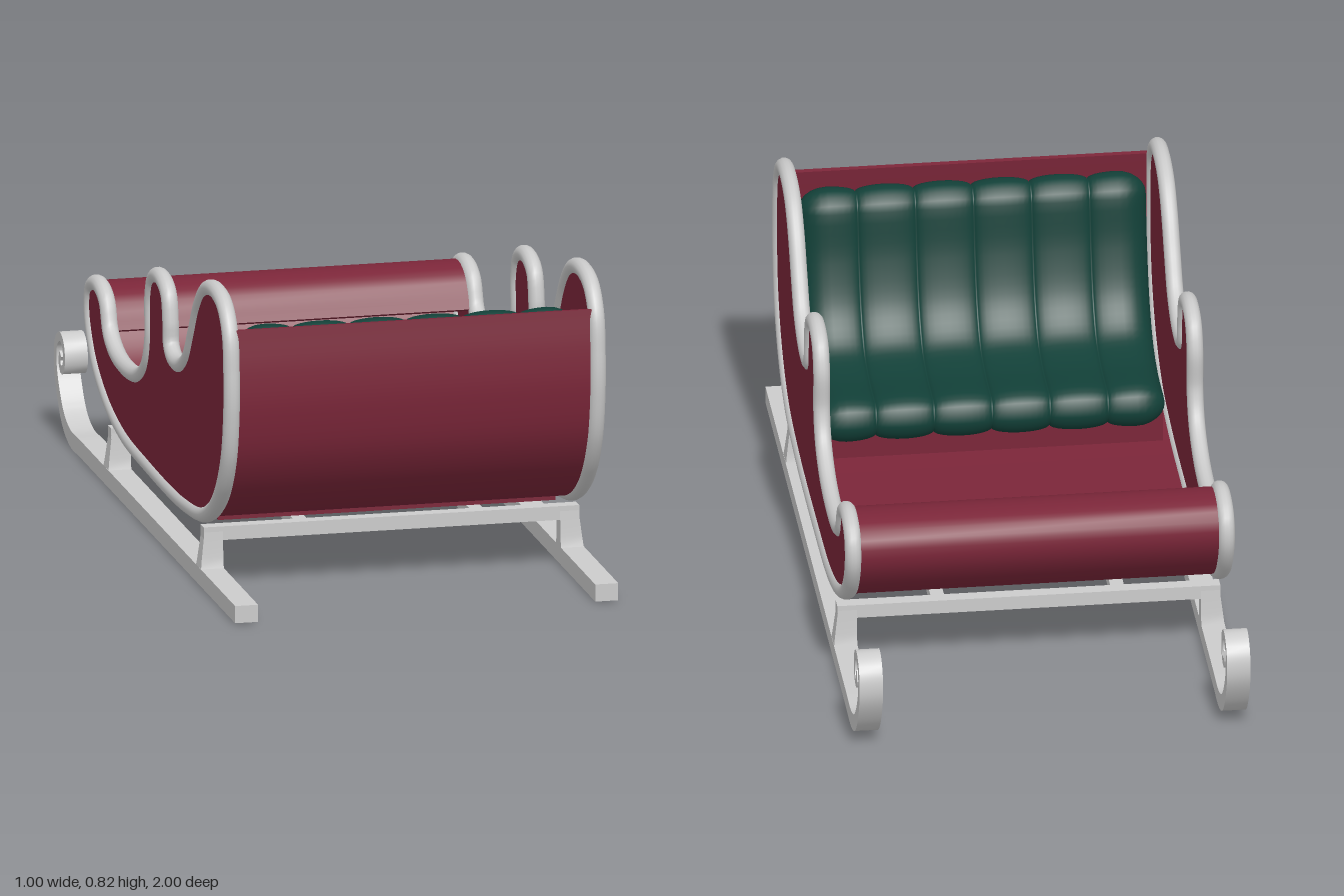
import * as THREE from 'three';
import { toCreasedNormals } from 'three/addons/utils/BufferGeometryUtils.js';

const grey = new THREE.MeshStandardMaterial({ color: 0xcccccc });
const red = new THREE.MeshStandardMaterial({ color: 0x7b2639, side: THREE.DoubleSide });
const green = new THREE.MeshStandardMaterial({ color: 0x124038, side: THREE.DoubleSide });

// Side outline as [z, y]: down the back, along the floor, up the nose, back over the armrest
const OUTLINE = [
  [0.866, 0.615], [0.864, 0.51], [0.834, 0.385], [0.749, 0.267], [0.61, 0.187], [0.396, 0.155],
  [-0.02, 0.152], [-0.289, 0.166], [-0.476, 0.214], [-0.61, 0.294], [-0.674, 0.396],
  [-0.661, 0.46], [-0.583, 0.484], [-0.508, 0.46], [-0.468, 0.39], [-0.396, 0.353],
  [-0.262, 0.342], [-0.128, 0.364], [-0.04, 0.417], [-0.005, 0.492], [-0.005, 0.6],
  [0.025, 0.658], [0.1, 0.677], [0.172, 0.652], [0.193, 0.588], [0.2, 0.527],
  [0.246, 0.5], [0.326, 0.505], [0.412, 0.551], [0.47, 0.626], [0.535, 0.717],
  [0.604, 0.775], [0.7, 0.796], [0.797, 0.777], [0.85, 0.717],
];

const curveOf = (pts, closed = false) =>
  new THREE.CatmullRomCurve3(pts.map(([z, y]) => new THREE.Vector3(0, y, z)), closed);

function add(parent, name, geometry, material, x = 0, y = 0, z = 0) {
  const mesh = new THREE.Mesh(geometry, material);
  mesh.name = name;
  mesh.position.set(x, y, z);
  parent.add(mesh);
  return mesh;
}

// Extrude a [z, y] profile across x, centred on x = 0
function extrudeAcross(points, width) {
  const geo = new THREE.ExtrudeGeometry(new THREE.Shape(points), { depth: width, bevelEnabled: false });
  geo.translate(0, 0, -width / 2);
  geo.rotateY(-Math.PI / 2);
  return toCreasedNormals(geo, 0.6);
}

// Band of varying thickness following a curve in the side plane
function ribbon(curve, halfThickness, width, n) {
  const a = [], b = [];
  for (let i = 0; i <= n; i++) {
    const p = curve.getPointAt(i / n), t = curve.getTangentAt(i / n), h = halfThickness(i / n);
    a.push(new THREE.Vector2(p.z - t.y * h, p.y + t.z * h));
    b.push(new THREE.Vector2(p.z + t.y * h, p.y - t.z * h));
  }
  return extrudeAcross([...a, ...b.reverse()], width);
}

// Channelled cushion: a rounded cross-section swept over x, swelling in each channel
function cushionGeometry(width, channels) {
  const curve = curveOf([[0.37, 0.265], [0.5, 0.27], [0.61, 0.305], [0.69, 0.39], [0.745, 0.53], [0.77, 0.66]]);
  const ring = [], N = 24, C = 8;
  for (let i = 0; i <= N; i++) ring.push([i / N, 0]);
  for (let i = 1; i < C; i++) ring.push([1, (Math.PI * i) / C]);
  for (let i = N; i >= 0; i--) ring.push([i / N, Math.PI]);
  for (let i = 1; i < C; i++) ring.push([0, Math.PI + (Math.PI * i) / C]);
  const frames = ring.map(([s, a]) => {
    const p = curve.getPointAt(s), t = curve.getTangentAt(s);
    const c = Math.cos(a), d = Math.sin(a);
    return [p.y, p.z, t.z * c + t.y * d, -t.y * c + t.z * d];
  });
  const pos = [], idx = [], S = 12, R = ring.length, columns = channels * S;
  for (let i = 0; i <= columns; i++) {
    const k = Math.min(Math.floor(i / S), channels - 1), f = i / S - k;
    const x = ((k + (1 - Math.cos(Math.PI * f)) / 2) / channels - 0.5) * width;
    const end = i === 0 || i === columns;
    const outer = (k === 0 && f < 0.5) || (k === channels - 1 && f > 0.5);
    const swell = Math.abs(Math.sin(Math.PI * f));
    const h = end ? 0.001 : outer ? 0.058 * swell : 0.042 + 0.016 * swell;
    for (const [y, z, ny, nz] of frames) pos.push(x, y + ny * h, z + nz * h);
  }
  for (let i = 0; i < columns; i++) {
    for (let j = 0; j < R; j++) {
      const a = i * R + j, b = i * R + ((j + 1) % R);
      idx.push(a, b, a + R, b, b + R, a + R);
    }
  }
  const geo = new THREE.BufferGeometry();
  geo.setAttribute('position', new THREE.Float32BufferAttribute(pos, 3));
  geo.setIndex(idx);
  geo.computeVertexNormals();
  return geo;
}

// Leg that is wide at the runner and narrow at the crossbar
function legGeometry() {
  const geo = new THREE.BoxGeometry(0.06, 0.1, 0.06, 1, 6, 1);
  const p = geo.attributes.position;
  for (let i = 0; i < p.count; i++) {
    const t = THREE.MathUtils.clamp(p.getY(i) / 0.1 + 0.5, 0, 1);
    p.setZ(i, p.getZ(i) * (1 - 0.42 * Math.sqrt(t)));
    if (p.getX(i) > 0) p.setX(i, 0.03 - 0.012 * t);
  }
  return toCreasedNormals(geo, 0.6);
}

export function createModel() {
  const model = new THREE.Group();
  model.name = 'sleigh';
  const outline = curveOf(OUTLINE, true);

  // Body sheet: backrest, floor and rolled nose in one piece
  const bodyCurve = curveOf([[0.855, 0.73], ...OUTLINE.slice(0, 15)]);
  add(model, 'bodyShell', ribbon(bodyCurve, () => 0.007, 0.94, 100), red);

  // Seat cushion and the riser beneath it
  add(model, 'seatCushion', cushionGeometry(0.89, 6), green);
  add(model, 'seatRiser', new THREE.BoxGeometry(0.88, 0.09, 0.2), red, 0, 0.2, 0.46);

  // Runner with a scroll at the nose
  const runnerCurve = curveOf([
    [1, 0.0225], [0.4, 0.0225], [-0.2, 0.0225], [-0.7, 0.0225], [-0.82, 0.0235], [-0.895, 0.052],
    [-0.95, 0.11], [-0.983, 0.18], [-0.975, 0.235], [-0.935, 0.26], [-0.9, 0.248],
    [-0.886, 0.215], [-0.897, 0.184], [-0.925, 0.178], [-0.937, 0.2], [-0.926, 0.216],
  ]);
  const taper = (u) => THREE.MathUtils.lerp(0.0225, 0.011, THREE.MathUtils.smoothstep(u, 0.76, 0.96));
  const runnerGeo = ribbon(runnerCurve, taper, 0.06, 200);
  const panelGeo = extrudeAcross(outline.getPoints(220).slice(0, -1).map((p) => new THREE.Vector2(p.z, p.y)), 0.022);
  const trimGeo = new THREE.TubeGeometry(outline, 260, 0.0215, 14, true);
  const legGeo = legGeometry();
  const legZ = [0.595, -0.425];

  for (const side of [1, -1]) {
    const name = side > 0 ? 'left' : 'right';
    add(model, name + 'SidePanel', panelGeo, red, side * 0.4775);
    add(model, name + 'SideTrim', trimGeo, grey, side * 0.4775);
    add(model, name + 'Runner', runnerGeo, grey, side * 0.47);
    legZ.forEach((z, i) => {
      const leg = add(model, name + (i ? 'FrontLeg' : 'RearLeg'), legGeo, grey, side * 0.47, 0.09, z);
      if (side < 0) leg.rotation.y = Math.PI;
    });
    // Long bar beneath the floor
    add(model, name + 'FloorBar', new THREE.BoxGeometry(0.035, 0.03, 1.02), grey, side * 0.23, 0.135, 0.085);
  }

  // Crossbars joining the legs
  legZ.forEach((z, i) =>
    add(model, i ? 'frontCrossbar' : 'rearCrossbar', new THREE.BoxGeometry(0.98, 0.036, 0.035), grey, 0, 0.134, z));

  return model;
}
